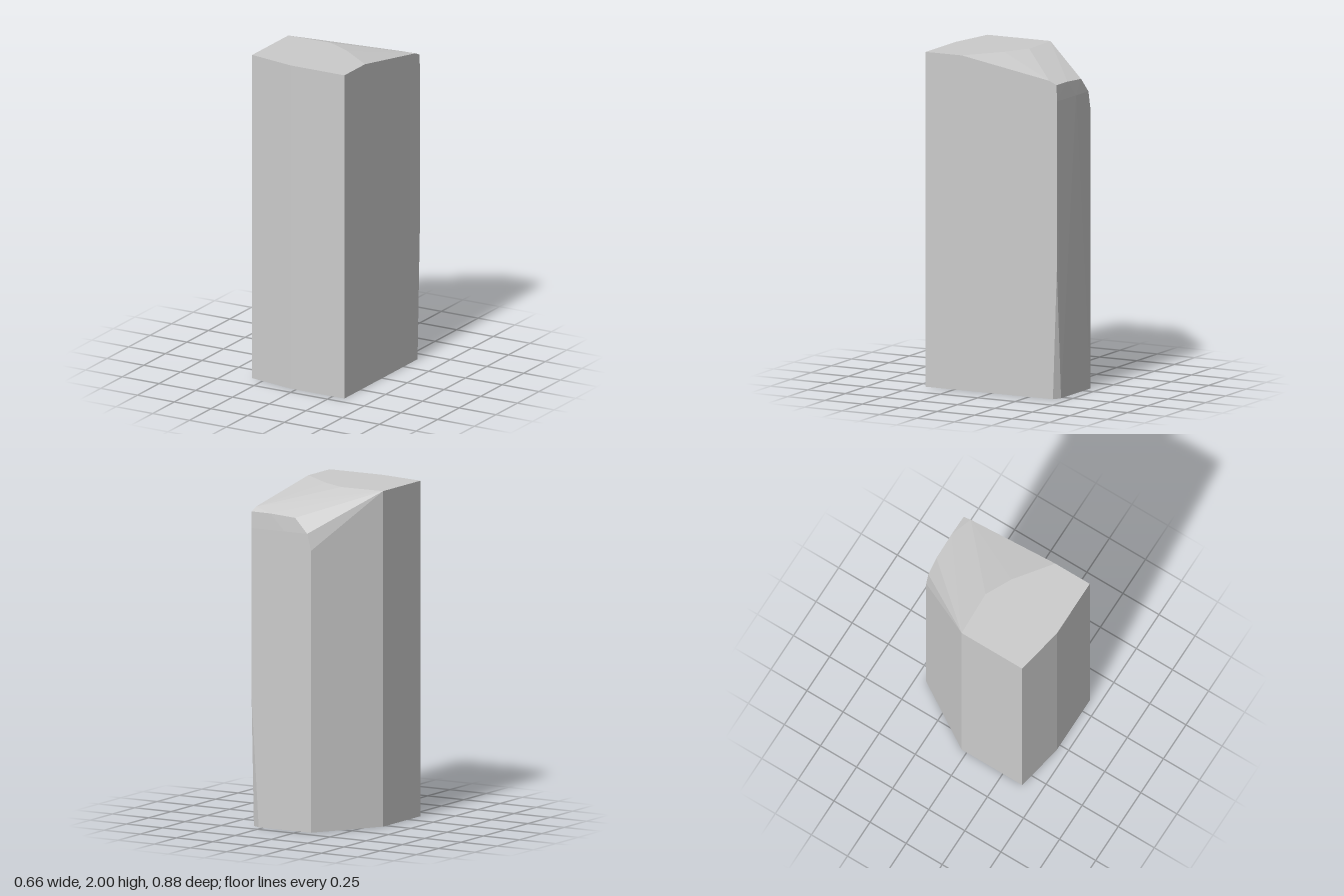
import * as THREE from 'three';
import { ConvexGeometry } from 'three/addons/geometries/ConvexGeometry.js';

export function createModel() {
  const group = new THREE.Group();
  group.name = 'stoneColumn';
  const points = [];
  const add = (y, ...plan) => plan.forEach(([x, z]) => points.push(new THREE.Vector3(x, y, z)));

  // Front and left corners run straight from the base to the flat top
  const uprights = [[-0.33, -0.035], [-0.33, 0.385], [-0.035, 0.44], [0.33, 0.44]];
  add(0, ...uprights);
  add(2, ...uprights);

  // Base of the back wall, its left corner slightly chipped
  add(0, [0.33, -0.41], [0.28, -0.437], [-0.08, -0.437]);

  // Back wall, ending at the worn upper rim
  add(0.78, [0.33, -0.436]);
  add(1.68, [-0.08, -0.437]);
  add(1.78, [-0.055, -0.438], [0.33, -0.437], [0.1, -0.44]);
  add(1.867, [0.03, -0.435]);
  add(1.878, [0.33, -0.434], [0.2, -0.436]);
  add(1.9, [0.33, -0.385]);

  // Back limit of the flat top, where the slope begins
  add(2, [-0.05, -0.045], [0.11, 0.035], [0.33, 0.2]);

  const block = new THREE.Mesh(
    new ConvexGeometry(points),
    new THREE.MeshStandardMaterial({ color: 0xcccccc, flatShading: true })
  );
  block.name = 'stoneBlock';
  group.add(block);
  return group;
}
